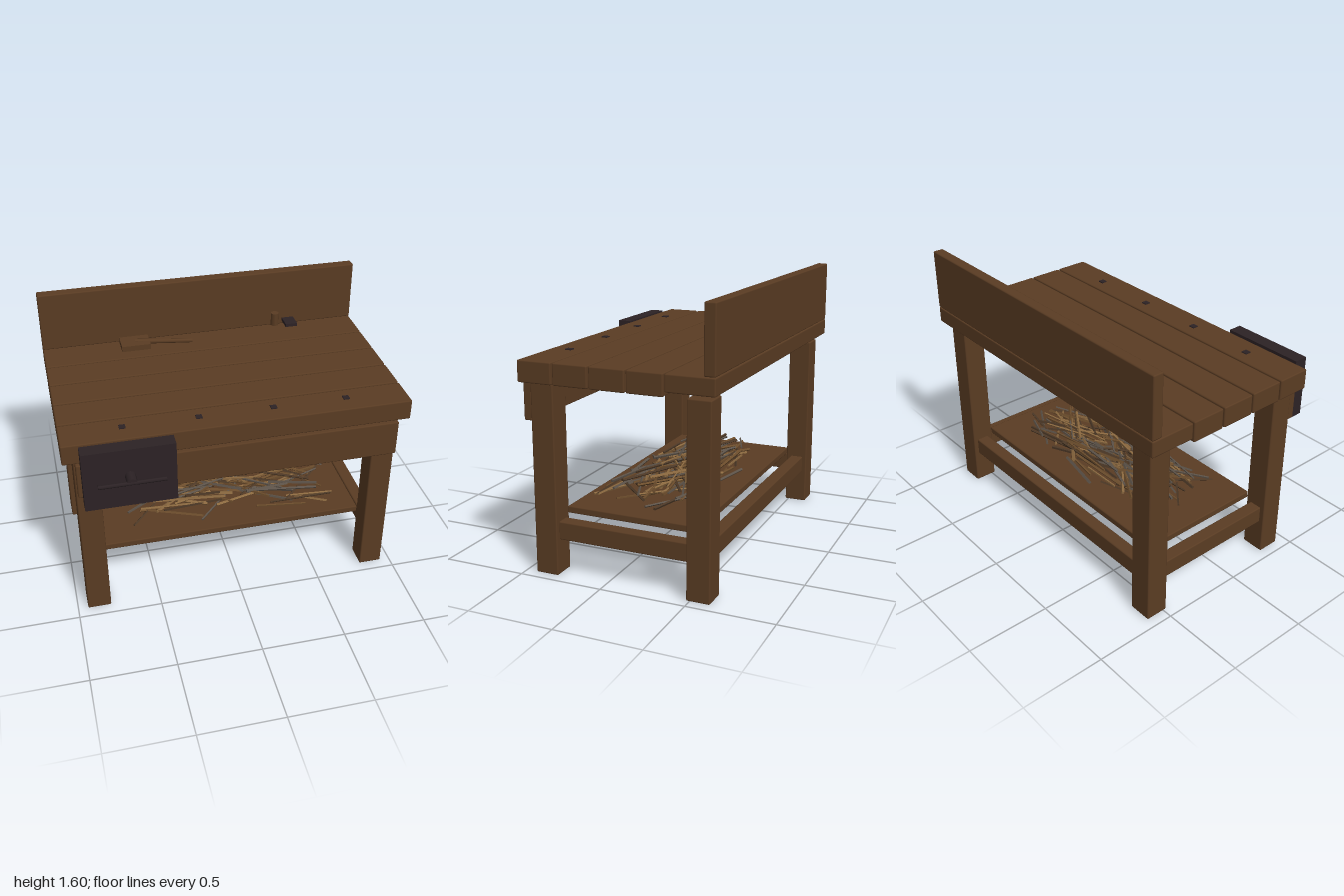
import * as THREE from 'three';
import { mergeGeometries } from 'three/addons/utils/BufferGeometryUtils.js';
import { RoundedBoxGeometry } from 'three/addons/geometries/RoundedBoxGeometry.js';

function material(name, color) {
  const m = new THREE.MeshStandardMaterial({ color });
  m.name = name;
  return m;
}

export function createModel() {
  const bench = new THREE.Group();
  bench.name = 'workbench';
  const wood = material('brown wood', 0x5a3c23);
  const iron = material('dark iron', 0x2c2225);

  function add(name, geometry, mat, x = 0, y = 0, z = 0) {
    const mesh = new THREE.Mesh(geometry, mat);
    mesh.name = name;
    mesh.position.set(x, y, z);
    bench.add(mesh);
    return mesh;
  }

  // Board given by its limits on each axis, with small eased edges
  function board(name, [x0, x1], [y0, y1], [z0, z1], mat = wood, ease = 0.008) {
    const size = [x1 - x0, y1 - y0, z1 - z0];
    const geometry = ease ? new RoundedBoxGeometry(...size, 1, ease) : new THREE.BoxGeometry(...size);
    return add(name, geometry, mat, (x0 + x1) / 2, (y0 + y1) / 2, (z0 + z1) / 2);
  }

  // Round bar between two points
  function bar(name, from, to, r0, r1, sides, mat) {
    const a = new THREE.Vector3(...from), b = new THREE.Vector3(...to);
    const geometry = new THREE.CylinderGeometry(r1, r0, a.distanceTo(b), sides);
    const mesh = add(name, geometry, mat);
    mesh.position.addVectors(a, b).multiplyScalar(0.5);
    mesh.quaternion.setFromUnitVectors(new THREE.Vector3(0, 1, 0), b.sub(a).normalize());
    return mesh;
  }

  // Legs and side stretchers
  for (const s of [-1, 1]) {
    const legX = s < 0 ? [-0.94, -0.8] : [0.8, 0.94];
    const railX = s < 0 ? [-0.91, -0.83] : [0.83, 0.91];
    board('frontLeg', legX, [0, 1.1], [0.297, 0.435]);
    board('backLeg', legX, [0, 1.1], [-0.617, -0.48]);
    board('sideStretcher', railX, [0.205, 0.312], [-0.485, 0.302]);
  }

  // Back stretcher, shelf and front apron
  board('backStretcher', [-0.805, 0.805], [0.205, 0.312], [-0.59, -0.51]);
  board('shelf', [-0.8, 0.8], [0.325, 0.367], [-0.485, 0.305]);
  board('apron', [-0.93, 0.93], [0.88, 1.1], [0.435, 0.486]);

  // Top planks, thinner tool tray and backboard
  for (let i = 0; i < 4; i++) {
    const z = 0.373 - i * 0.2155;
    board('topPlank', [-1, 1], [1.107, 1.23], [z - 0.103, z + 0.103]);
  }
  board('rearPlank', [-1, 1], [1.133, 1.23], [-0.66, -0.385]);
  board('backboard', [-1, 1], [1.232, 1.6], [-0.66, -0.595]);

  // Bench dogs
  for (let i = 0; i < 4; i++) {
    const x = -0.65 + i * 0.43;
    board('benchDog', [x - 0.018, x + 0.018], [1.2, 1.236], [0.342, 0.378], iron, 0);
  }

  // Front vise
  board('viseJaw', [-0.905, -0.39], [0.86, 1.23], [0.497, 0.58], iron, 0);
  bar('viseScrew', [-0.647, 1.06, 0.47], [-0.647, 1.06, 0.655], 0.03, 0.03, 8, iron);
  bar('viseHandle', [-0.83, 1.06, 0.648], [-0.46, 1.06, 0.648], 0.012, 0.012, 6, iron);

  // Mallet
  board('malletHead', [-0.525, -0.345], [1.228, 1.265], [-0.59, -0.463], wood, 0);
  bar('malletHandle', [-0.435, 1.262, -0.525], [-0.075, 1.238, -0.5], 0.016, 0.014, 8, wood);

  // Loose peg and iron plate
  add('peg', new THREE.CylinderGeometry(0.025, 0.025, 0.082, 8), wood, 0.467, 1.312, -0.525);
  board('ironPlate', [0.53, 0.605], [1.266, 1.286], [-0.575, -0.48], iron, 0);

  // Pile of thin sticks on the shelf, one mesh per shade
  let seed = 11;
  const random = () => (seed = (seed * 16807) % 2147483647) / 2147483647;
  const shades = [
    material('tan straw', 0x8a683f),
    material('dark straw', 0x4c3826),
    material('brown straw', 0x6c4d2c),
    material('grey straw', 0x5c5248),
  ];
  const piles = shades.map(() => []);
  for (let i = 0; i < 150; i++) {
    const layer = i % 5;
    const length = 0.18 + 0.34 * random();
    const yaw = (random() + random() - 1) * 0.95;
    const reachX = 0.72 - layer * 0.03 - Math.cos(yaw) * length / 2;
    const reachZ = 0.32 - layer * 0.025 - Math.abs(Math.sin(yaw)) * length / 2;
    const thick = 0.008 + 0.007 * random();
    const stick = new THREE.BoxGeometry(length, thick, thick);
    stick.rotateX(random() * 1.5);
    stick.rotateZ((random() - 0.5) * 0.05);
    stick.rotateY(yaw);
    stick.translate((random() * 2 - 1) * reachX, 0.392 + layer * 0.02, -0.08 + (random() * 2 - 1) * reachZ);
    piles[Math.floor(random() * shades.length)].push(stick);
  }
  piles.forEach((sticks, i) => add('strawPile', mergeGeometries(sticks), shades[i]));

  return bench;
}
